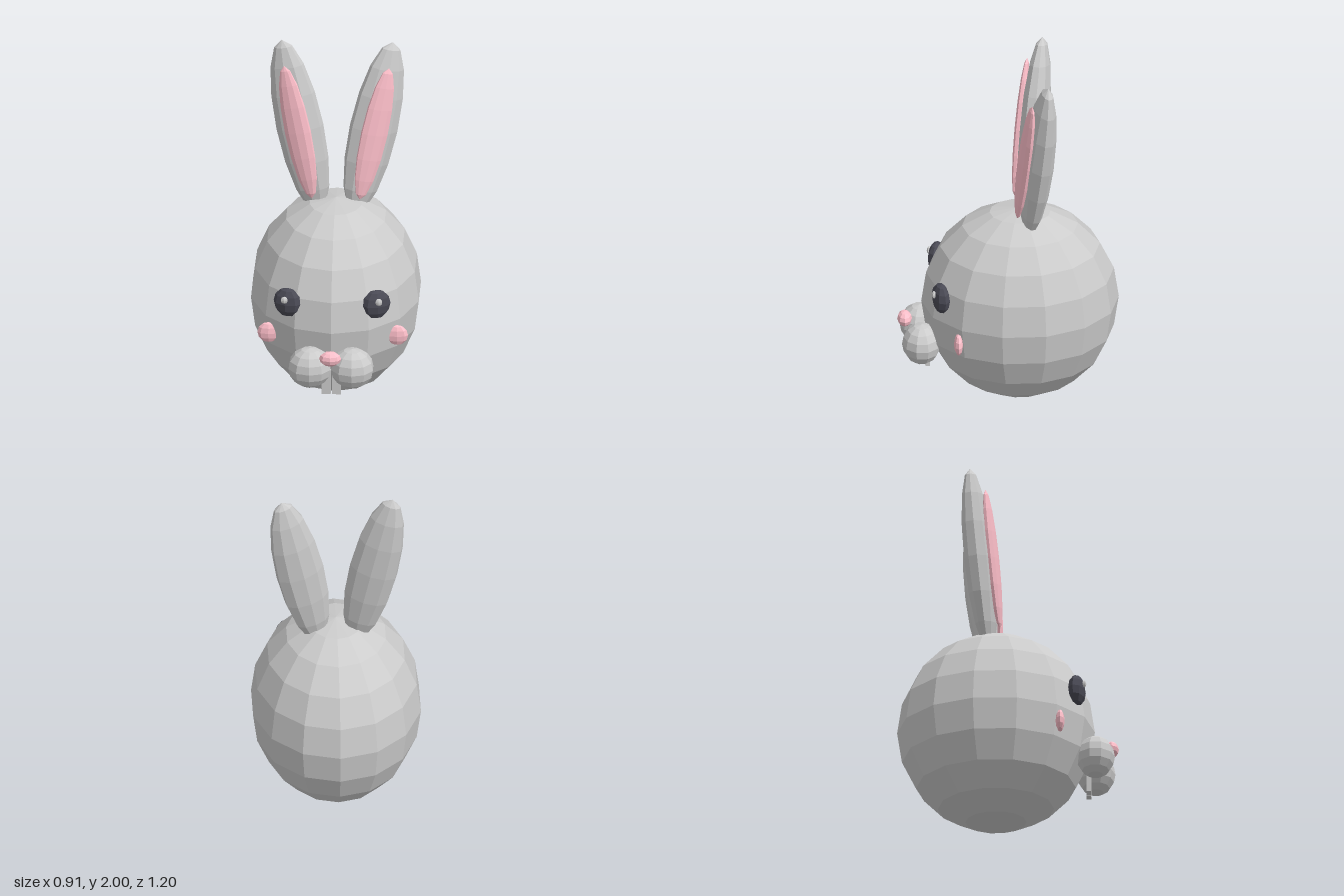
import * as THREE from 'three';

const material = (color) => new THREE.MeshStandardMaterial({ color, flatShading: true });

export function createModel() {
  const model = new THREE.Group();
  const grey = material(0xcccccc);
  const pink = material(0xffc0cb);
  const dark = material(0x4a4a55);

  // Faceted ellipsoid; radii [x, y, z], rotation applied y, then z, then x
  function ellipsoid(name, mat, radii, position, [columns, rows] = [8, 6], rotation = [0, 0, 0]) {
    const geometry = new THREE.SphereGeometry(1, columns, rows);
    geometry.rotateY(Math.PI / 2);
    geometry.scale(...radii);
    const mesh = new THREE.Mesh(geometry, mat);
    mesh.name = name;
    mesh.position.set(...position);
    mesh.rotation.set(...rotation, 'XZY');
    model.add(mesh);
  }

  ellipsoid('head', grey, [0.466, 0.56, 0.535], [0, 0.56, -0.065], [14, 10]);
  ellipsoid('nose', pink, [0.06, 0.042, 0.04], [0, 0.455, 0.56]);

  for (const [side, s] of [['left', 1], ['right', -1]]) {
    // Ears lean outward and back, and turn slightly to the side
    const lean = [-0.1, 0.3 * s, -0.2 * s];
    ellipsoid(side + 'Ear', grey, [0.135, 0.51, 0.078], [0.2 * s, 1.5, -0.152], [10, 8], lean);
    ellipsoid(side + 'InnerEar', pink, [0.076, 0.39, 0.03], [0.207 * s, 1.5, -0.08], [10, 8], lean);

    // Face
    ellipsoid(side + 'Eye', dark, [0.08, 0.085, 0.045], [0.24 * s, 0.7, 0.376], [8, 6], [0, 0.3 * s, 0]);
    ellipsoid(side + 'EyeHighlight', grey, [0.021, 0.021, 0.013], [0.256 * s, 0.73, 0.414], [6, 6]);
    ellipsoid(side + 'Cheek', pink, [0.06, 0.06, 0.025], [0.348 * s, 0.47, 0.286]);
    ellipsoid(side + 'Muzzle', grey, [0.119, 0.115, 0.105], [0.115 * s, 0.36, 0.475], [10, 8]);

    // Front teeth
    const tooth = new THREE.Mesh(new THREE.BoxGeometry(0.05, 0.14, 0.026), grey);
    tooth.name = side + 'Tooth';
    tooth.position.set(0.028 * s, 0.255, 0.437);
    model.add(tooth);
  }

  return model;
}
